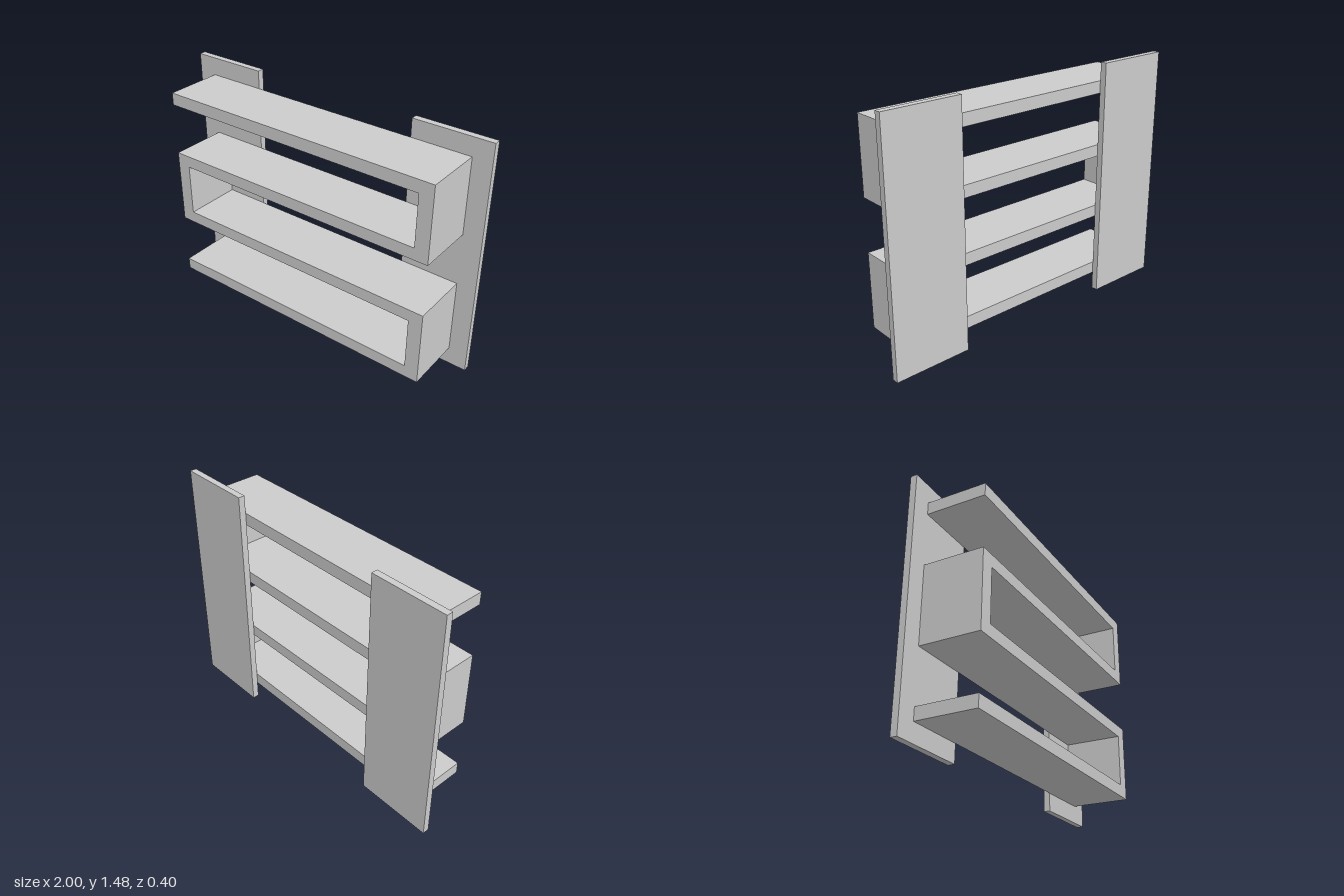
import * as THREE from 'three';

export function createModel() {
  const group = new THREE.Group();
  const material = new THREE.MeshStandardMaterial({ color: 0xcccccc, flatShading: true });

  // Two upright wall panels at the back
  const panelWidth = 0.475, panelHeight = 1.475, panelDepth = 0.04;
  for (const side of [-1, 1]) {
    const panel = new THREE.Mesh(new THREE.BoxGeometry(panelWidth, panelHeight, panelDepth), material);
    panel.name = side > 0 ? 'leftBackPanel' : 'rightBackPanel';
    panel.position.set(side * (1 - panelWidth / 2), panelHeight / 2, -0.18);
    group.add(panel);
  }

  // One continuous serpentine shelf: four boards joined by alternating end walls
  const outer = 0.885, inner = 0.8;
  const bottoms = [0.11, 0.505, 0.9, 1.29];
  const tops = [0.185, 0.578, 0.973, 1.365];
  const outline = [
    // up the right-hand edge of the outline
    [-outer, bottoms[0]], [outer, bottoms[0]], [outer, tops[1]],
    [-inner, tops[1]], [-inner, bottoms[2]],
    [outer, bottoms[2]], [outer, tops[3]],
    // back down the left-hand edge
    [-outer, tops[3]], [-outer, bottoms[3]], [inner, bottoms[3]], [inner, tops[2]],
    [-outer, tops[2]], [-outer, bottoms[1]], [inner, bottoms[1]], [inner, tops[0]],
    [-outer, tops[0]],
  ].map(([x, y]) => new THREE.Vector2(x, y));

  const shelf = new THREE.Mesh(
    new THREE.ExtrudeGeometry(new THREE.Shape(outline), { depth: 0.36, bevelEnabled: false }),
    material,
  );
  shelf.name = 'serpentineShelf';
  shelf.position.z = -0.16;
  group.add(shelf);

  return group;
}
